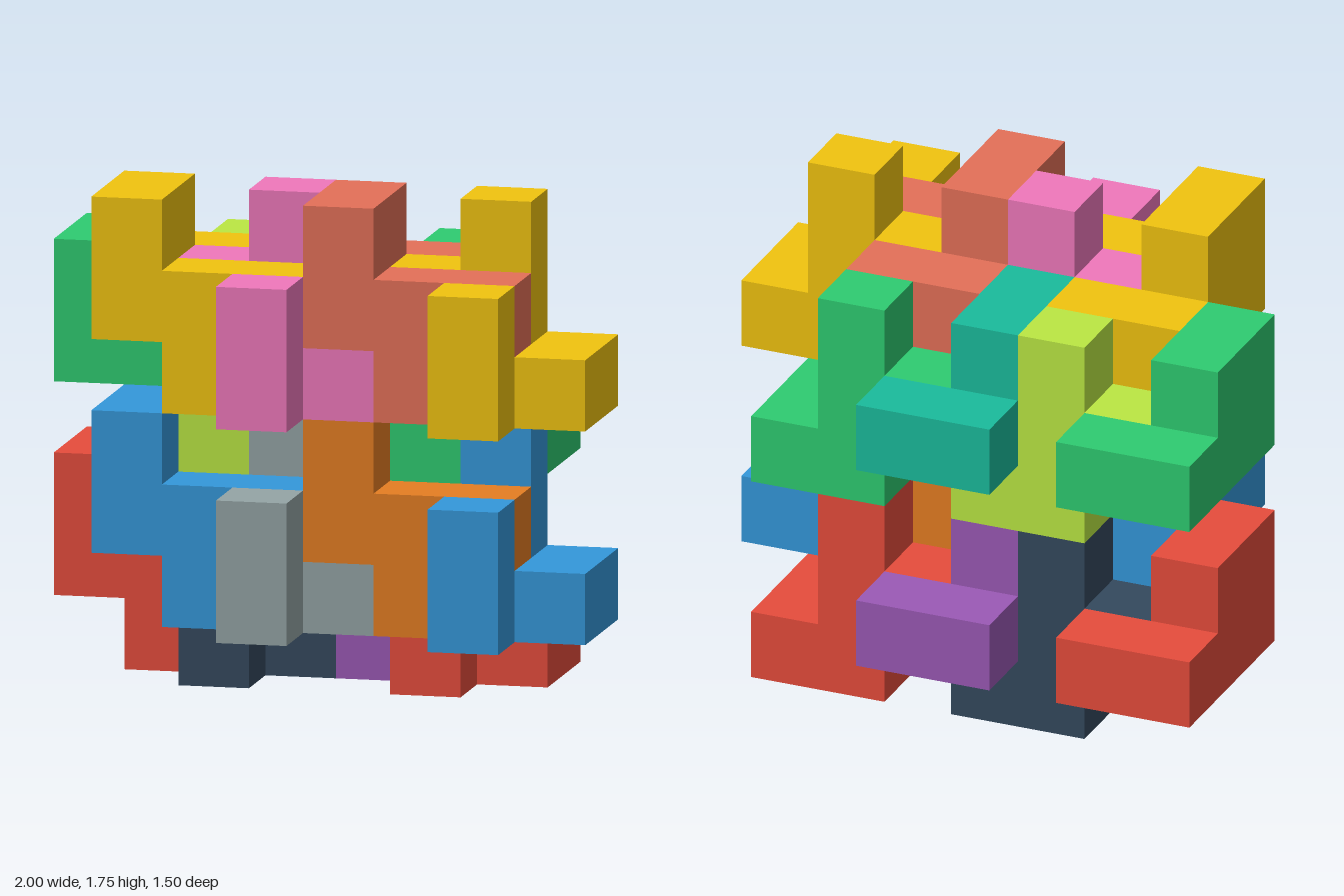
import * as THREE from 'three';
import { mergeGeometries } from 'three/addons/utils/BufferGeometryUtils.js';

const CELL = 0.25;

// Two interlocking nine-cube pieces, each as bars: [x, y, z, width, height, depth] in cells
const HOOK = [
  [-4, 1, -3, 1, 1, 3], // spine
  [-3, 1, -3, 1, 1, 1], // back tip
  [-3, 1, -1, 2, 1, 1], // front arm
  [-4, 2, -2, 1, 1, 2], // upper ridge
  [-3, 0, -1, 1, 1, 1], // lower peg
];
const CRADLE = [
  [1, 0, -2, 1, 1, 3], // spine
  [2, 0, -2, 1, 1, 2], // side ledge
  [1, 1, -2, 1, 2, 1], // back post
  [1, 1, 0, 1, 1, 1], // front post
  [0, 1, -2, 1, 1, 1], // side peg
];

// Joins the bars of a piece into one geometry
function pieceGeometry(bars) {
  return mergeGeometries(bars.map(([x, y, z, w, h, d]) =>
    new THREE.BoxGeometry(w * CELL, h * CELL, d * CELL)
      .translate((x + w / 2) * CELL, (y + h / 2) * CELL, (z + d / 2) * CELL)));
}

export function createModel() {
  const model = new THREE.Group();
  model.name = 'interlockingCubePieces';
  const hook = pieceGeometry(HOOK);
  const cradle = pieceGeometry(CRADLE);

  // Each set has two hooks and two cradles; the sets repeat by a fixed shift
  const sets = [
    { name: 'lowerBack', shift: [0, 0, 0], outer: 0xe74c3c, midHook: 0x9b59b6, midCradle: 0x34495e },
    { name: 'lowerFront', shift: [1, 1, 2], outer: 0x3498db, midHook: 0xe67e22, midCradle: 0x95a5a6 },
    { name: 'upperBack', shift: [0, 3, 0], outer: 0x2ecc71, midHook: 0x1abc9c, midCradle: 0xbbe843 },
    { name: 'upperFront', shift: [1, 4, 2], outer: 0xf1c40f, midHook: 0xe57058, midCradle: 0xf078bc },
  ];

  for (const { name, shift, outer, midHook, midCradle } of sets) {
    const group = new THREE.Group();
    group.name = `${name}Set`;
    group.position.set(...shift).multiplyScalar(CELL);
    const add = (part, geometry, color, dx) => {
      const mesh = new THREE.Mesh(geometry, new THREE.MeshStandardMaterial({ color }));
      mesh.name = part;
      mesh.position.x = dx * CELL;
      group.add(mesh);
    };
    add('outerHook', hook, outer, 0);
    add('middleHook', hook, midHook, 3);
    add('outerCradle', cradle, outer, 0);
    add('middleCradle', cradle, midCradle, -3);
    model.add(group);
  }
  return model;
}
